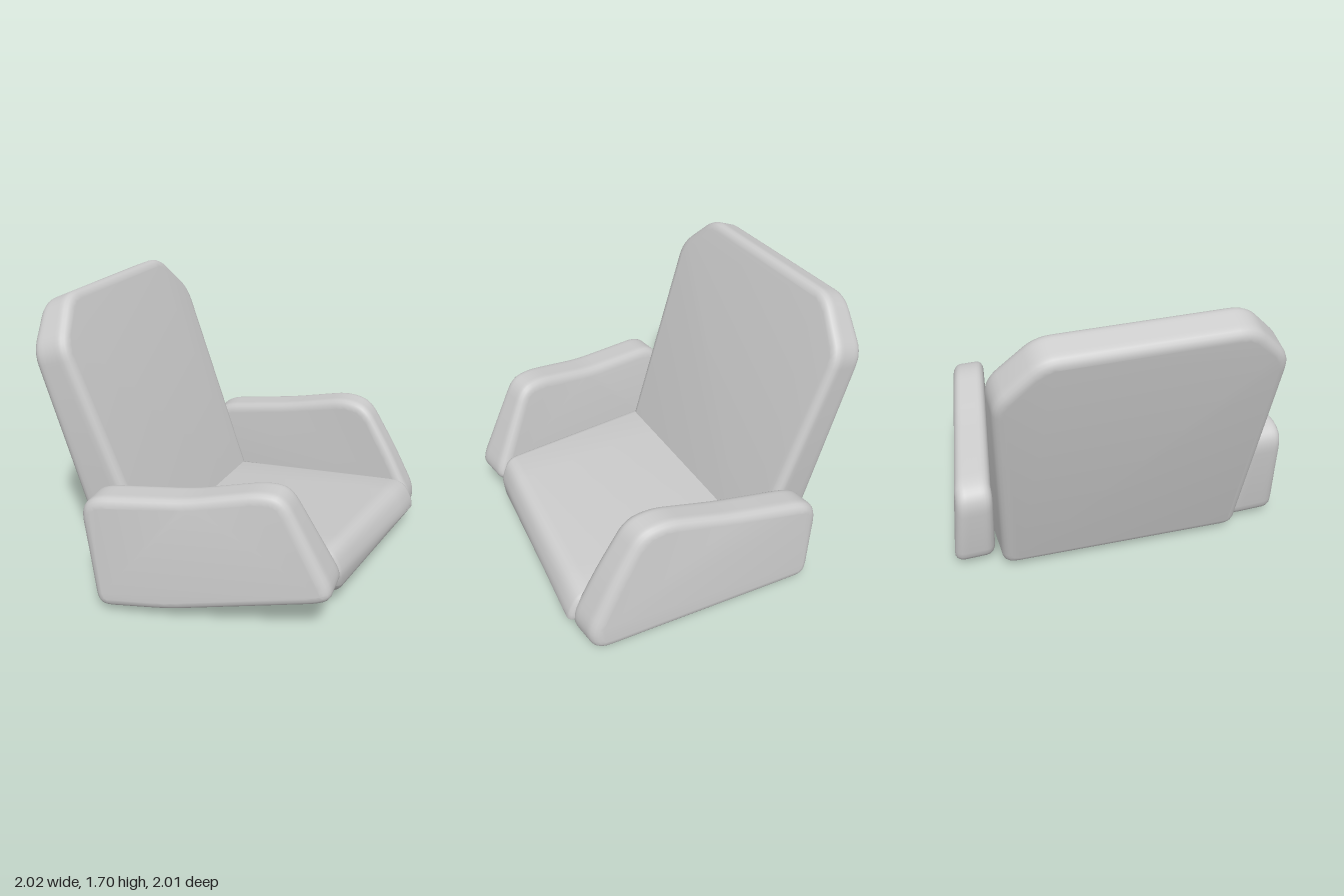
import * as THREE from 'three';
import { toCreasedNormals } from 'three/addons/utils/BufferGeometryUtils.js';

const material = new THREE.MeshStandardMaterial({ color: 0xcccccc });

// Closed outline with softened corners
function roundedShape(points, radius) {
  const pts = points.map(([x, y]) => new THREE.Vector2(x, y));
  const shape = new THREE.Shape();
  pts.forEach((p, i) => {
    const prev = pts[(i + pts.length - 1) % pts.length];
    const next = pts[(i + 1) % pts.length];
    const cut = (q) => p.clone().lerp(q, Math.min(0.45, radius / p.distanceTo(q)));
    const a = cut(prev), b = cut(next);
    if (i === 0) shape.moveTo(a.x, a.y);
    else shape.lineTo(a.x, a.y);
    shape.quadraticCurveTo(p.x, p.y, b.x, b.y);
  });
  shape.closePath();
  return shape;
}

// Soft-edged slab: outline extruded from z = 0 to z = depth, then bent by a rule
function cushion(name, points, depth, bevel, warp) {
  const geometry = new THREE.ExtrudeGeometry(roundedShape(points, bevel * 1.7), {
    depth: depth - 2 * bevel, bevelThickness: bevel, bevelSize: bevel,
    bevelOffset: -bevel, bevelSegments: 4, curveSegments: 5, steps: 6,
  });
  geometry.translate(0, 0, bevel);
  const pos = geometry.attributes.position;
  const p = new THREE.Vector3();
  for (let i = 0; i < pos.count; i++) {
    p.fromBufferAttribute(pos, i);
    warp(p);
    pos.setXYZ(i, p.x, p.y, p.z);
  }
  const mesh = new THREE.Mesh(toCreasedNormals(geometry, 0.7), material);
  mesh.name = name;
  return mesh;
}

export function createModel() {
  const chair = new THREE.Group();
  chair.name = 'armchair';

  // Backrest: chamfered panel, reclined, slightly turned and thicker at the foot
  chair.add(cushion('backrest', [
    [-0.71, 0.04], [0.74, 0.04], [0.81, 1.42], [0.57, 1.67], [-0.51, 1.705], [-0.74, 1.48],
  ], 1, 0.05, (p) => {
    const u = p.x;
    const thickness = 0.22 + 0.085 * (1.6 - p.y);
    const t = THREE.MathUtils.clamp((p.z - 0.05) / 0.9, 0, 1);
    // keep the rounded rim a constant width while the middle stretches
    const rim = p.z < 0.05 ? p.z : p.z > 0.95 ? thickness - (1 - p.z) : 0.05 + t * (thickness - 0.1);
    const y = p.y + (rim / thickness - 0.8) * 0.05 * Math.max(0, p.y - 0.1);
    p.set(-0.56 - 0.272 * (y - 0.05) + 0.05 * u + rim, y, -u);
  }));

  // Seat: raised front edge, dipping towards the backrest, narrower underneath
  chair.add(cushion('seat', [
    [-0.4, 0.04], [-0.3, 0.01], [0.75, 0.07], [0.89, 0.13], [0.915, 0.24], [0.84, 0.385], [-0.42, 0.23],
  ], 1.4, 0.045, (p) => {
    const z = p.z - 0.7, x = p.x;
    const taper = 1 - 0.14 * THREE.MathUtils.clamp((0.22 - p.y) / 0.15, 0, 1);
    p.x = x - (x > 0 ? 0.18 * z * x : 0);
    p.y += z * (p.y > 0.2 ? 0.08 : 0.02);
    p.z = z * taper + x * (0.04 - z * 0.17);
  }));

  // Right armrest: underside rises towards the front, both sides lean
  chair.add(cushion('rightArmrest', [
    [-0.53, 0.03], [-0.1, 0.07], [0.77, 0.25], [0.81, 0.32],
    [0.53, 0.85], [0.4, 0.865], [0, 0.77], [-0.53, 0.72], [-0.61, 0.64],
  ], 0.26, 0.055, (p) => {
    const t = p.z / 0.26;
    const lean = t * 0.05 * (p.y - 0.2) - (1 - t) * 0.1 * (p.y - 0.5);
    p.z += 0.7 - 0.09 * Math.max(p.x, -0.5) - lean;
  }));

  // Left armrest: longer nose, lower at the rear, outer side leans in
  chair.add(cushion('leftArmrest', [
    [-0.42, 0.02], [0.97, 0.06], [1.0, 0.2], [0.84, 0.5],
    [0.66, 0.79], [0.5, 0.815], [0.1, 0.7], [-0.4, 0.59], [-0.48, 0.5],
  ], 0.235, 0.055, (p) => {
    const lean = (1 - p.z / 0.235) * 0.07 * (p.y - 0.2);
    p.z += -0.93 + 0.18 * Math.max(p.x, -0.38) + lean;
  }));

  return chair;
}
